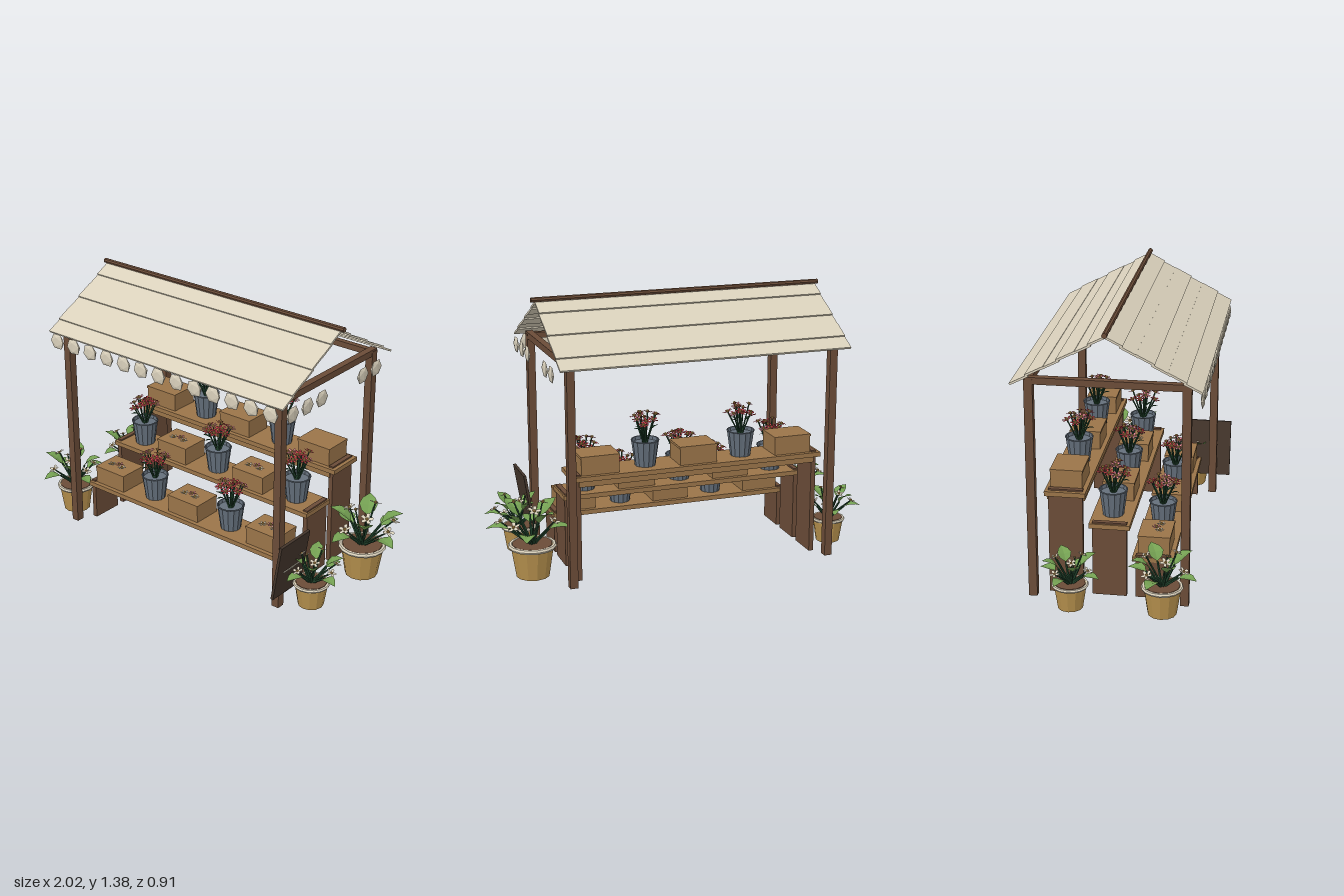
import * as THREE from 'three';

const mat = (name, color, extra = {}) =>
  Object.assign(new THREE.MeshStandardMaterial({ color, flatShading: true, ...extra }), { name });
const two = { side: THREE.DoubleSide };
const M = {
  wood: mat('dark wood', 0x6b4c38),
  shelf: mat('tan wood', 0x9a7449),
  cream: mat('cream', 0xd9d0bb, two),
  bucket: mat('blue grey metal', 0x65707c, two),
  pot: mat('ochre clay', 0xb8924e),
  leaf: mat('leaf green', 0x74a052, two),
  stem: mat('stem green', 0x23472f, two),
  red: mat('red petal', 0xb83a44, two),
  pink: mat('pink petal', 0xd77f8c, two),
  sign: mat('sign board brown', 0x44362c),
};
const CX = -0.042; // middle of the stall

let seed = 7;
const rnd = (a, b) => {
  seed = (seed * 16807) % 2147483647;
  return a + (b - a) * (seed / 2147483647);
};
const V = (x, y, z) => new THREE.Vector3(x, y, z);
const UP = V(0, 1, 0);

function add(parent, name, geo, material, x = 0, y = 0, z = 0) {
  const m = new THREE.Mesh(geo, material);
  m.name = name;
  m.position.set(x, y, z);
  parent.add(m);
  return m;
}
const box = (p, name, material, w, h, d, x, y, z) =>
  add(p, name, new THREE.BoxGeometry(w, h, d), material, x, y, z);

function group(parent, name, x = 0, y = 0, z = 0) {
  const g = new THREE.Group();
  g.name = name;
  g.position.set(x, y, z);
  parent.add(g);
  return g;
}

// Thin rod between two points
function rod(p, name, a, b, r0, r1, material, sides = 5) {
  const d = b.clone().sub(a);
  const m = add(p, name, new THREE.CylinderGeometry(r1, r0, d.length(), sides), material);
  m.position.copy(a).addScaledVector(d, 0.5);
  m.quaternion.setFromUnitVectors(UP, d.normalize());
}

// Flat blossom with pointed or round petals, facing +y
function petalGeometry(n, r, inner) {
  const s = new THREE.Shape();
  for (let i = 0; i < n * 4; i++) {
    const a = (i / (n * 4)) * Math.PI * 2;
    const k = [inner, 0.88, 1, 0.88][i % 4] * r;
    s[i ? 'lineTo' : 'moveTo'](Math.cos(a) * k, Math.sin(a) * k);
  }
  const g = new THREE.ShapeGeometry(s).rotateX(-Math.PI / 2);
  const P = g.attributes.position;
  for (let i = 0; i < P.count; i++) P.setY(i, Math.hypot(P.getX(i), P.getZ(i)) * 0.25);
  g.computeVertexNormals();
  return g;
}
const roundBloom = petalGeometry(5, 0.036, 0.4);
const starBloom = petalGeometry(6, 0.03, 0.3);
const budGeo = new THREE.IcosahedronGeometry(0.01, 0);

function flower(p, at, dir, geo, material, size = 1) {
  const f = group(p, 'flower', at.x, at.y, at.z);
  f.quaternion.setFromUnitVectors(UP, dir.clone().normalize());
  f.scale.setScalar(size);
  add(f, 'petals', geo, material);
  add(f, 'flowerCentre', budGeo, M.pot, 0, 0.006, 0);
}

// Folded pointed oval leaf growing along +z from the origin
function leafGeometry() {
  const prof = [[0, 0.006], [0.18, 0.26], [0.42, 0.36], [0.7, 0.26], [1, 0]];
  const pos = [], idx = [];
  prof.forEach(([t, w], i) => {
    const y = 0.12 * Math.sin(t * Math.PI) - 0.12 * t;
    pos.push(-w, y + w * 0.25, t, 0, y, t, w, y + w * 0.25, t);
    if (i) for (const k of [0, 1]) {
      const a = (i - 1) * 3 + k, b = i * 3 + k;
      idx.push(a, b, a + 1, a + 1, b, b + 1);
    }
  });
  const g = new THREE.BufferGeometry();
  g.setAttribute('position', new THREE.Float32BufferAttribute(pos, 3));
  g.setIndex(idx);
  g.computeVertexNormals();
  return g;
}
const leafGeo = leafGeometry();

// Clay pot with a broad-leaved flowering plant
function pottedPlant(root, x, z, h, r) {
  const g = group(root, 'pottedPlant', x, 0, z);
  add(g, 'pot', new THREE.CylinderGeometry(r * 0.92, r * 0.7, h, 12), M.pot, 0, h / 2, 0);
  add(g, 'potRim', new THREE.TorusGeometry(r * 0.92, r * 0.1, 6, 16).rotateX(Math.PI / 2), M.cream, 0, h - 0.005, 0);
  add(g, 'soil', new THREE.CylinderGeometry(r * 0.85, r * 0.85, 0.008, 12), M.wood, 0, h, 0);
  const out = Math.sign(x), s = r / 0.12;
  for (let i = 0; i < 8; i++) {
    const a = (i / 8) * Math.PI * 2 + 0.3;
    const reach = (i % 2 ? 0.075 : 0.1) * s;
    const dir = V(Math.cos(a), 0, Math.sin(a));
    const tip = dir.clone().multiplyScalar(reach).setY(h + (i % 2 ? 0.13 : 0.08) * s);
    tip.x += out * 0.015;
    rod(g, 'stem', V(dir.x * 0.01, h, dir.z * 0.01), tip, 0.007, 0.005, M.stem);
    const l = add(g, 'leaf', leafGeo, M.leaf);
    l.position.copy(tip);
    l.scale.setScalar((i % 2 ? 0.13 : 0.115) * s);
    l.rotation.set(i % 2 ? -0.7 : -0.15, Math.PI / 2 - a, 0, 'YXZ');
  }
  for (let i = 0; i < 7; i++) {
    const a = (i / 7) * Math.PI * 2 + 0.1;
    const reach = (i % 2 ? 0.09 : 0.135) * s;
    const tip = V(Math.cos(a) * reach + out * 0.02, h + (i % 2 ? 0.2 : 0.13) * s, Math.sin(a) * reach);
    rod(g, 'flowerStem', V(0, h, 0), tip, 0.006, 0.004, M.stem);
    flower(g, tip, V(Math.cos(a) * 0.5, 1, Math.sin(a) * 0.5), roundBloom, M.cream, 0.95 * s);
  }
}

// Ribbed metal bucket with a bunch of cut flowers
function flowerBucket(root, x, y, z) {
  const g = group(root, 'flowerBucket', x, y, z);
  const body = new THREE.CylinderGeometry(0.07, 0.052, 0.13, 28, 1, true);
  const P = body.attributes.position;
  for (let i = 0; i < P.count; i++) {
    const k = (i % 29) % 2 ? 0.95 : 1;
    P.setX(i, P.getX(i) * k);
    P.setZ(i, P.getZ(i) * k);
  }
  add(g, 'bucket', body, M.bucket, 0, 0.065, 0);
  add(g, 'bucketFill', new THREE.CylinderGeometry(0.062, 0.05, 0.11, 14), M.bucket, 0, 0.06, 0);
  add(g, 'bucketRim', new THREE.TorusGeometry(0.068, 0.004, 5, 20).rotateX(Math.PI / 2), M.bucket, 0, 0.13, 0);
  for (let i = 0; i < 12; i++) {
    const a = i * 2.4, reach = i < 4 ? 0.025 : rnd(0.05, 0.068);
    const tip = V(Math.cos(a) * reach, rnd(0.235, 0.275) - reach * 0.3, Math.sin(a) * reach);
    rod(g, 'flowerStem', V(Math.cos(a) * 0.008, 0.11, Math.sin(a) * 0.008), tip, 0.004, 0.004, M.stem, 4);
    flower(g, tip, V(Math.cos(a) * 0.4, 1, Math.sin(a) * 0.4), starBloom, i % 4 === 1 ? M.pink : M.red, 0.9);
    if (i % 3 === 0) {
      const l = add(g, 'leafBlade', leafGeo, M.stem);
      l.position.copy(tip).multiplyScalar(0.6).setY(0.175);
      l.scale.set(0.025, 0.04, 0.05);
      l.rotation.set(-0.4, Math.PI / 2 - a, 0, 'YXZ');
    }
  }
}

// Three stepped shelves with end panels, boxes and buckets
function shelves(root) {
  const g = group(root, 'shelves');
  [[0.205, 0.2, 0.645], [0.367, -0.012, 0.648], [0.528, -0.225, 0.66]].forEach(([y, z, half], row) => {
    box(g, 'shelfBoard', M.shelf, half * 2, 0.024, 0.2, CX, y, z);
    for (const s of [-1, 1]) {
      box(g, 'endPanel', M.wood, 0.025, y + 0.02, 0.168, CX + s * 0.628, (y + 0.02) / 2, z);
    }
    if (row === 2) for (const s of [-1, 1]) {
      box(g, 'shelfRail', M.shelf, 1.25, 0.03, 0.015, CX, y - 0.026, z + s * 0.085);
    }
    for (let i = 0; i < 5; i++) {
      const x = CX + (i - 2) * 0.256, top = y + 0.012;
      if ((i + row) % 2) {
        flowerBucket(g, x, top, z);
        continue;
      }
      box(g, 'crate', M.shelf, 0.195, 0.092, 0.155, x, top + 0.046, z);
      box(g, 'crateLid', M.shelf, 0.2, 0.012, 0.16, x, top + 0.09, z);
      // A few blooms lying on the lower crates
      if (row < 2) for (const k of [-1, 0, 1]) {
        flower(g, V(x + k * 0.035, top + 0.102, z + k * k * 0.02), UP, starBloom, k ? M.cream : M.pink, 0.8);
      }
    }
  });
}

// Posts, beams, lapped roof boards and the scalloped bunting
function canopy(root) {
  const g = group(root, 'canopy');
  for (const x of [-0.725, 0.64]) {
    for (const z of [0.362, -0.38]) box(g, 'post', M.wood, 0.04, 1.12, 0.042, x, 0.56, z);
    box(g, 'sideBeam', M.wood, 0.036, 0.034, 0.785, x, 1.113, -0.008);
  }
  for (const z of [0.362, -0.38]) box(g, 'longBeam', M.wood, 1.365, 0.03, 0.03, CX, 1.11, z);

  const n = 6, run = 0.44, drop = 0.24, ang = Math.atan2(drop, run);
  for (const s of [-1, 1]) for (let i = 0; i < n; i++) {
    const t = (i + 0.5) / n;
    const b = box(g, 'roofBoard', M.cream, 1.495, 0.01, Math.hypot(run, drop) / n + 0.014,
      CX, 1.35 - drop * t + (i % 2 ? 0.001 : 0.006), -0.01 + s * run * t);
    b.rotation.x = s * (ang - 0.03);
  }
  rod(g, 'ridgePole', V(-0.805, 1.367, -0.01), V(0.725, 1.367, -0.01), 0.013, 0.013, M.wood, 8);

  const disc = new THREE.IcosahedronGeometry(0.049, 0).scale(1, 0.92, 0.2);
  for (let i = 0; i < 13; i++) {
    add(g, 'frontScallop', disc, M.cream, -0.738 + i * 0.1143, 1.065, 0.434).rotation.z = (i % 3) * 0.12;
  }
  for (const z of [0.37, 0.255, 0.14, -0.2, -0.315]) {
    add(g, 'sideScallop', disc, M.cream, 0.712, 1.065, z).rotation.y = Math.PI / 2;
  }
}

// Leaning board beside the front post
function signBoard(root) {
  const g = group(root, 'signBoard', 0.697, 0.243, 0.34);
  g.rotation.z = -0.16;
  box(g, 'board', M.sign, 0.014, 0.31, 0.228, 0, 0, 0);
  box(g, 'paintedLine', M.cream, 0.004, 0.008, 0.15, 0.008, -0.012, -0.015);
}

export function createModel() {
  const root = new THREE.Group();
  root.name = 'flowerStall';
  canopy(root);
  shelves(root);
  signBoard(root);
  pottedPlant(root, 0.785, -0.155, 0.165, 0.12);
  pottedPlant(root, 0.757, 0.245, 0.125, 0.092);
  pottedPlant(root, -0.825, 0.265, 0.145, 0.1);
  pottedPlant(root, -0.825, -0.18, 0.125, 0.088);
  return root;
}
